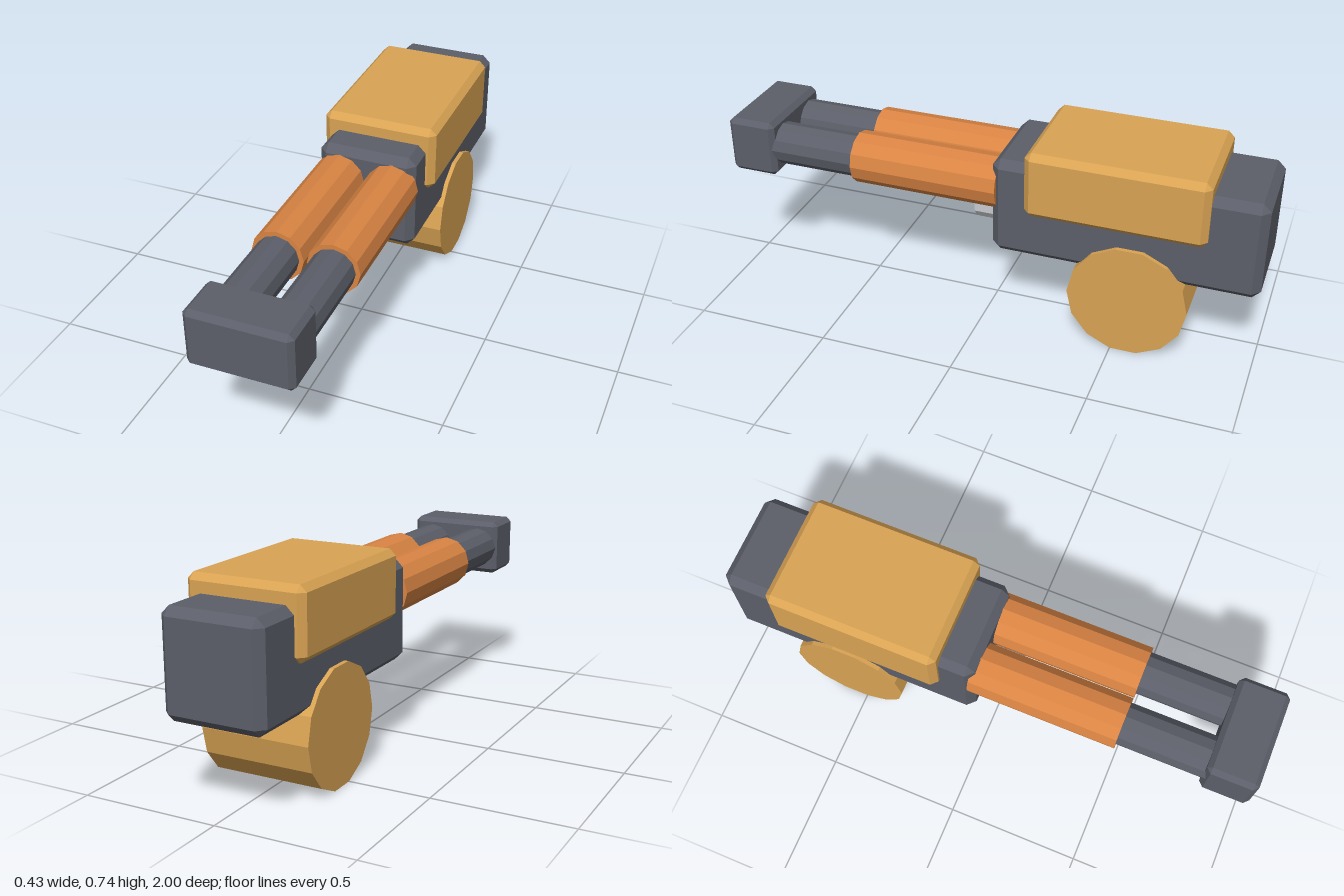
import * as THREE from 'three';
import { ConvexGeometry } from 'three/addons/geometries/ConvexGeometry.js';

const paint = (name, color) => {
  const m = new THREE.MeshStandardMaterial({ color, flatShading: true });
  m.name = name;
  return m;
};

// Box with flat 45 degree bevels on every edge, given by its limits
function bevelBox([x0, x1], [y0, y1], [z0, z1], bevel) {
  const h = [(x1 - x0) / 2, (y1 - y0) / 2, (z1 - z0) / 2];
  const points = [];
  for (const sx of [-1, 1]) for (const sy of [-1, 1]) for (const sz of [-1, 1])
    for (let face = 0; face < 3; face++) {
      const p = h.map((v, i) => (i === face ? v : v - bevel));
      points.push(new THREE.Vector3(sx * p[0], sy * p[1], sz * p[2]));
    }
  return new ConvexGeometry(points).translate((x0 + x1) / 2, (y0 + y1) / 2, (z0 + z1) / 2);
}

// Cylinder lying along z from z0 to z1
function rod(radius, sides, x, y, z0, z1) {
  return new THREE.CylinderGeometry(radius, radius, z1 - z0, sides)
    .rotateX(Math.PI / 2)
    .translate(x, y, (z0 + z1) / 2);
}

export function createModel() {
  const steel = paint('dark steel', 0x5c5f69);
  const yellow = paint('ochre yellow', 0xd9a353);
  const orange = paint('copper orange', 0xd98443);
  const silver = paint('light silver', 0xc8cacf);

  const model = new THREE.Group();
  model.name = 'model';
  const add = (name, geometry, material) => {
    const mesh = new THREE.Mesh(geometry, material);
    mesh.name = name;
    model.add(mesh);
  };

  // Main housing and its top cover
  add('body', bevelBox([-0.185, 0.185], [0.307, 0.677], [-1, -0.037], 0.029), steel);
  add('topCover', bevelBox([-0.217, 0.217], [0.492, 0.74], [-0.81, -0.165], 0.023), yellow);

  // Drum slung under the body
  add('drum', new THREE.CylinderGeometry(0.217, 0.217, 0.402, 14)
    .rotateZ(Math.PI / 2).translate(0, 0.212, -0.548), yellow);

  // Twin barrels: wide sleeve with a thinner tube running into the front block
  for (const [side, x] of [['left', 0.101], ['right', -0.101]]) {
    add(side + 'Sleeve', rod(0.096, 12, x, 0.554, -0.055, 0.5), orange);
    add(side + 'Tube', rod(0.079, 12, x, 0.554, 0.4, 0.85), steel);
  }
  add('frontBlock', bevelBox([-0.185, 0.185], [0.446, 0.661], [0.815, 1], 0.018), steel);

  // Short nozzle below the barrels
  add('nozzle', rod(0.0617, 10, 0, 0.4, -0.1, 0.07), silver);

  return model;
}
